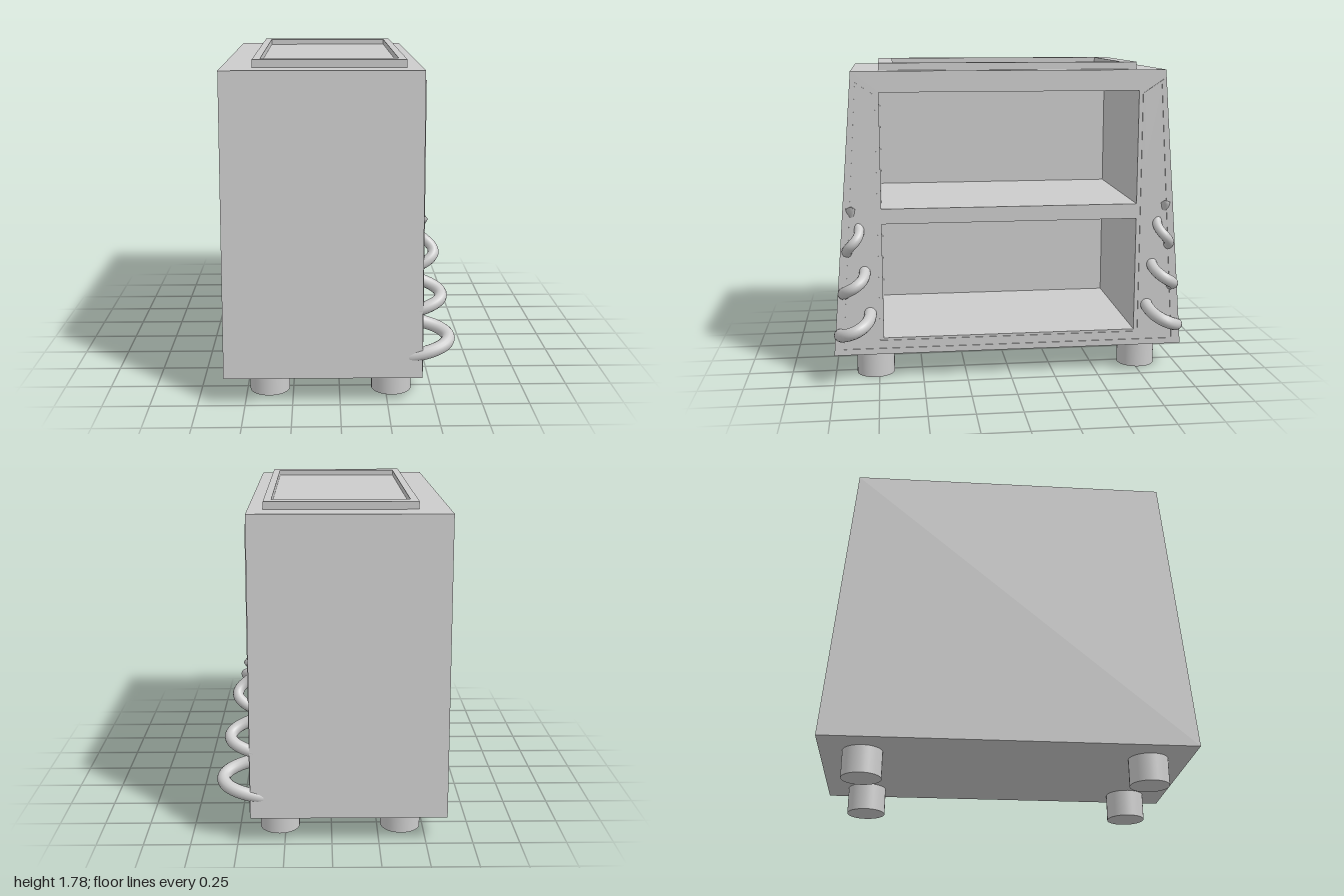
import * as THREE from 'three';

const material = new THREE.MeshStandardMaterial({ color: 0xcccccc });

const toPath = (points, Type = THREE.Path) => new Type(points.map(([a, y]) => new THREE.Vector2(a, y)));
const rect = (a, y0, y1) => [[-a, y0], [-a, y1], [a, y1], [a, y0]];

// Extrudes an outline drawn in the z-y plane along x, from x0 to x1
function slab(name, outline, holes, x0, x1) {
  const shape = toPath(outline, THREE.Shape);
  shape.holes = holes.map((h) => toPath(h));
  const geometry = new THREE.ExtrudeGeometry(shape, { depth: x1 - x0, bevelEnabled: false });
  geometry.rotateY(Math.PI / 2).translate(x0, 0, 0);
  const mesh = new THREE.Mesh(geometry, material);
  mesh.name = name;
  return mesh;
}

// U-shaped outline running down one column, along the sill and up the other
function uOutline(outer, bottom, top, outerTop, inner, innerTop, sill) {
  const half = [[outer, bottom], [outerTop, top], [inner, innerTop], [inner, sill]];
  return [...half, ...half.map(([a, y]) => [-a, y]).reverse()];
}

// Coil whose loops shrink towards the tip; side is +1 or -1 along z
class Coil extends THREE.Curve {
  constructor(side) {
    super();
    this.side = side;
  }
  getPoint(u, target = new THREE.Vector3()) {
    const t = -0.4 + 3.2 * u;
    const angle = t * Math.PI * 2;
    return target.set(
      0.43 + (0.145 - 0.045 * t) * Math.cos(angle),
      0.33 + 0.24 * t,
      this.side * (0.872 - (0.085 - 0.025 * t) * Math.sin(angle))
    );
  }
}

function tendril(name, side) {
  const rings = 140, sides = 14;
  const curve = new Coil(side);
  const geometry = new THREE.TubeGeometry(curve, rings, 0.036, sides);
  const position = geometry.attributes.position;
  const p = new THREE.Vector3(), c = new THREE.Vector3();
  // Taper along the length and close both ends
  for (let i = 0; i < position.count; i++) {
    const ring = Math.floor(i / (sides + 1));
    const scale = ring === 0 || ring === rings ? 0 : 1 - 0.3 * (ring / rings) ** 2;
    curve.getPointAt(ring / rings, c);
    p.fromBufferAttribute(position, i).sub(c).multiplyScalar(scale).add(c);
    position.setXYZ(i, p.x, p.y, p.z);
  }
  const mesh = new THREE.Mesh(geometry, material);
  mesh.name = name;
  return mesh;
}

export function createModel() {
  const group = new THREE.Group();
  group.name = 'cabinet';

  // Tapered carcass with two compartments, the shelf between them, and the back
  const profile = [[-1, 0.15], [1, 0.15], [0.87, 1.74], [-0.87, 1.74]];
  group.add(slab('carcass', profile, [rect(0.72, 0.245, 0.9), rect(0.72, 0.985, 1.625)], -0.47, 0.43));
  group.add(slab('backPanel', profile, [], -0.61, -0.47));

  // Thin raised moulding around the columns and sill
  group.add(slab('moulding',
    uOutline(0.968, 0.17, 1.69, 0.862, 0.742, 1.61, 0.232),
    [uOutline(0.946, 0.185, 1.66, 0.848, 0.758, 1.6, 0.22)], 0.42, 0.435));

  // Raised rim and sunken panel on top
  const rimShape = toPath([[-0.45, -0.72], [0.35, -0.72], [0.35, 0.72], [-0.45, 0.72]], THREE.Shape);
  rimShape.holes.push(toPath([[-0.41, -0.64], [-0.41, 0.64], [0.31, 0.64], [0.31, -0.64]]));
  const rim = new THREE.Mesh(
    new THREE.ExtrudeGeometry(rimShape, { depth: 0.045, bevelEnabled: false })
      .rotateX(-Math.PI / 2).translate(0, 1.735, 0), material);
  rim.name = 'topRim';
  const panel = new THREE.Mesh(new THREE.BoxGeometry(0.74, 0.02, 1.3), material);
  panel.position.set(-0.05, 1.74, 0);
  panel.name = 'topPanel';
  group.add(rim, panel);

  // Feet
  for (const x of [-0.378, 0.282]) {
    for (const z of [-0.77, 0.77]) {
      const foot = new THREE.Mesh(new THREE.CylinderGeometry(0.108, 0.108, 0.16, 32), material);
      foot.position.set(x, 0.08, z);
      foot.name = 'foot';
      group.add(foot);
    }
  }

  // Coiling tendrils threaded through the columns
  group.add(tendril('frontTendril', 1), tendril('backTendril', -1));
  return group;
}
